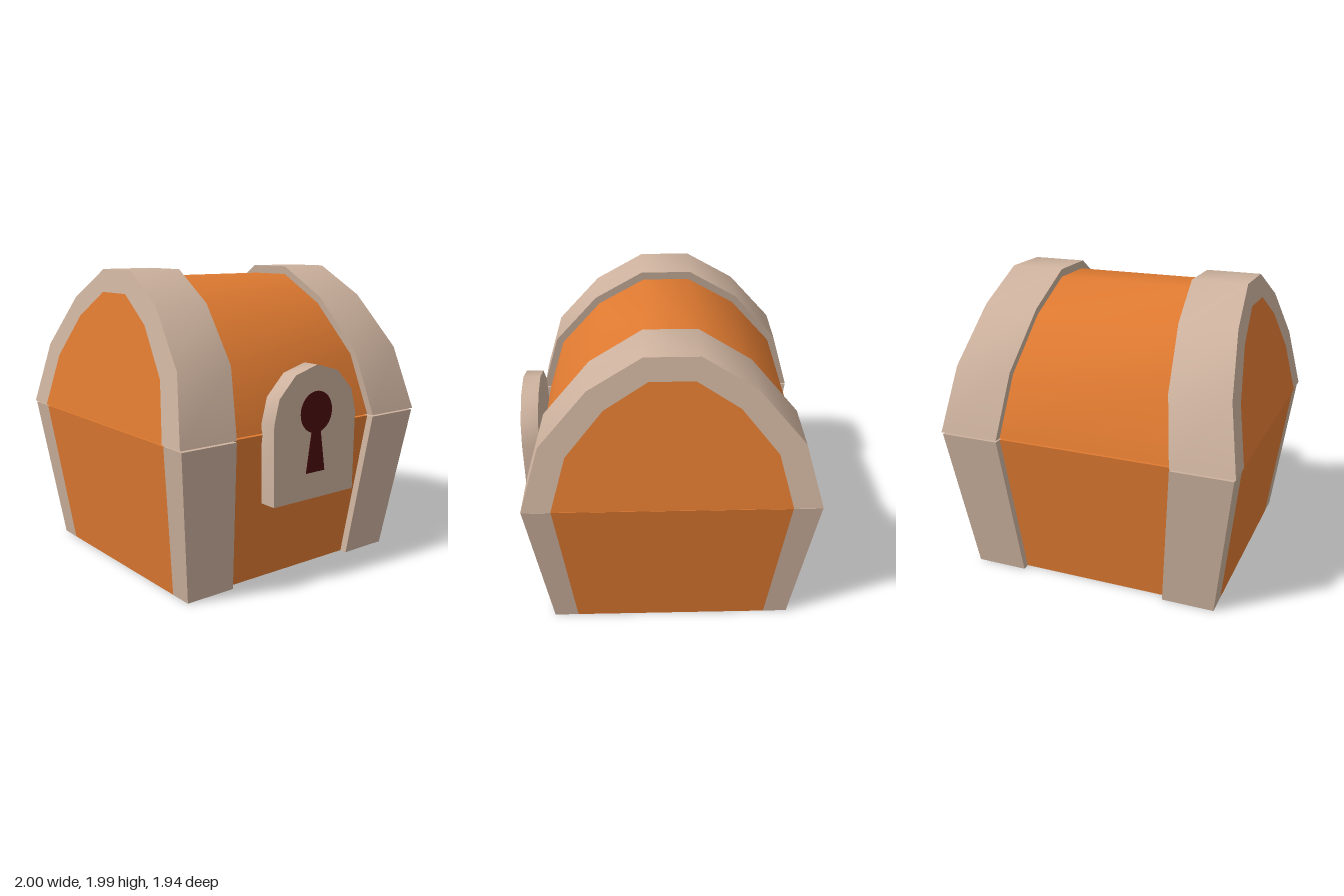
import * as THREE from 'three';
import { toCreasedNormals } from 'three/addons/utils/BufferGeometryUtils.js';

const Z_CENTRE = -0.03;
const CREASE = 0.75;
const lerp = THREE.MathUtils.lerp;

const wood = new THREE.MeshStandardMaterial({ name: 'orangeWood', color: 0xdf7a31 });
const trim = new THREE.MeshStandardMaterial({ name: 'paleTrim', color: 0xcdb29e });
const dark = new THREE.MeshStandardMaterial({ name: 'keyholeDark', color: 0x4b0c0f });

// Half widths along x by height: outer end faces and inner edges of the trim
const BASE = {
  outer: y => lerp(0.86, 0.99, y),
  inner: y => lerp(0.51, 0.59, y),
};
const LID = {
  outer: y => lerp(1.0, 0.83, (y - 1.01) / 0.98),
  inner: y => lerp(0.59, 0.462, (y - 1.01) / 0.98),
};

function shapeOf(points) {
  return new THREE.Shape(points.map(([a, b]) => new THREE.Vector2(a, b)));
}

// Sweep a [z, y] profile along x between two ends that lean with height
function sweep(name, profile, material, xFrom, xTo) {
  const shape = shapeOf(profile.map(([z, y]) => [-z, y]));
  const geometry = new THREE.ExtrudeGeometry(shape, { depth: 1, bevelEnabled: false });
  geometry.rotateY(Math.PI / 2);
  const pos = geometry.attributes.position;
  for (let i = 0; i < pos.count; i++) {
    const y = pos.getY(i);
    pos.setX(i, lerp(xFrom(y), xTo(y), pos.getX(i)));
  }
  geometry.translate(0, 0, Z_CENTRE);
  const mesh = new THREE.Mesh(toCreasedNormals(geometry, CREASE), material);
  mesh.name = name;
  return mesh;
}

// The same profile at both ends of the chest
function endPair(name, profile, material, limits) {
  return [
    sweep('left' + name, profile, material, limits.inner, limits.outer),
    sweep('right' + name, profile, material, y => -limits.outer(y), y => -limits.inner(y)),
  ];
}

// Mirror half a profile across z = 0
const mirror = half => [...half, ...half.map(([z, y]) => [-z, y]).reverse()];

function upright(name, points, depth, z, material, crease) {
  const geometry = new THREE.ExtrudeGeometry(points, { depth, bevelEnabled: false, curveSegments: 32 });
  geometry.translate(0, 0, z);
  const mesh = new THREE.Mesh(toCreasedNormals(geometry, crease), material);
  mesh.name = name;
  return mesh;
}

function makeBase() {
  const base = new THREE.Group();
  base.name = 'base';
  const core = mirror([[0.755, 0], [0.89, 1]]);
  const endPanel = mirror([[0.645, 0], [0.755, 1]]);
  const post = [[0.645, 0], [0.805, 0], [0.94, 1], [0.755, 1]];
  base.add(sweep('baseBody', core, wood, y => -BASE.inner(y), BASE.inner));
  base.add(...endPair('BaseEndPanel', endPanel, wood, BASE));
  base.add(...endPair('FrontCornerPost', post, trim, BASE));
  base.add(...endPair('BackCornerPost', post.map(([z, y]) => [-z, y]), trim, BASE));
  return base;
}

function makeLid() {
  const lid = new THREE.Group();
  lid.name = 'lid';
  const outer = mirror([[0.94, 1.01], [0.81, 1.44], [0.505, 1.79], [0.17, 1.99]]);
  const core = mirror([[0.89, 1.01], [0.765, 1.415], [0.48, 1.745], [0.158, 1.935]]);
  const panel = mirror([[0.755, 1.01], [0.65, 1.375], [0.41, 1.67], [0.14, 1.843]]);
  const band = [...outer, ...[...panel].reverse()];
  lid.add(sweep('lidBody', core, wood, y => -LID.inner(y), LID.inner));
  lid.add(...endPair('LidEndPanel', panel, wood, LID));
  lid.add(...endPair('LidBand', band, trim, LID));
  return lid;
}

function makeLock() {
  const lock = new THREE.Group();
  lock.name = 'lock';

  // Arched plate standing clear of the front
  const plate = shapeOf([
    [-0.343, 0.557], [0.343, 0.557], [0.35, 1.08], [0.31, 1.235], [0.178, 1.37],
    [0, 1.42], [-0.178, 1.37], [-0.31, 1.235], [-0.35, 1.08],
  ]);
  lock.add(upright('lockPlate', plate, 0.117, 0.853, trim, CREASE));

  // Keyhole: round head running into a flared slot
  const keyhole = new THREE.Shape();
  const start = -Math.PI / 2 + 0.3;
  keyhole.moveTo(-0.08, 0.73);
  keyhole.lineTo(0.08, 0.73);
  keyhole.absarc(0, 1.12, 0.134, start, start + Math.PI * 2 - 0.6, false);
  keyhole.closePath();
  lock.add(upright('keyhole', keyhole, 0.004, 0.969, dark, 0.5));
  return lock;
}

export function createModel() {
  const chest = new THREE.Group();
  chest.name = 'chest';
  chest.add(makeBase(), makeLid(), makeLock());
  return chest;
}
